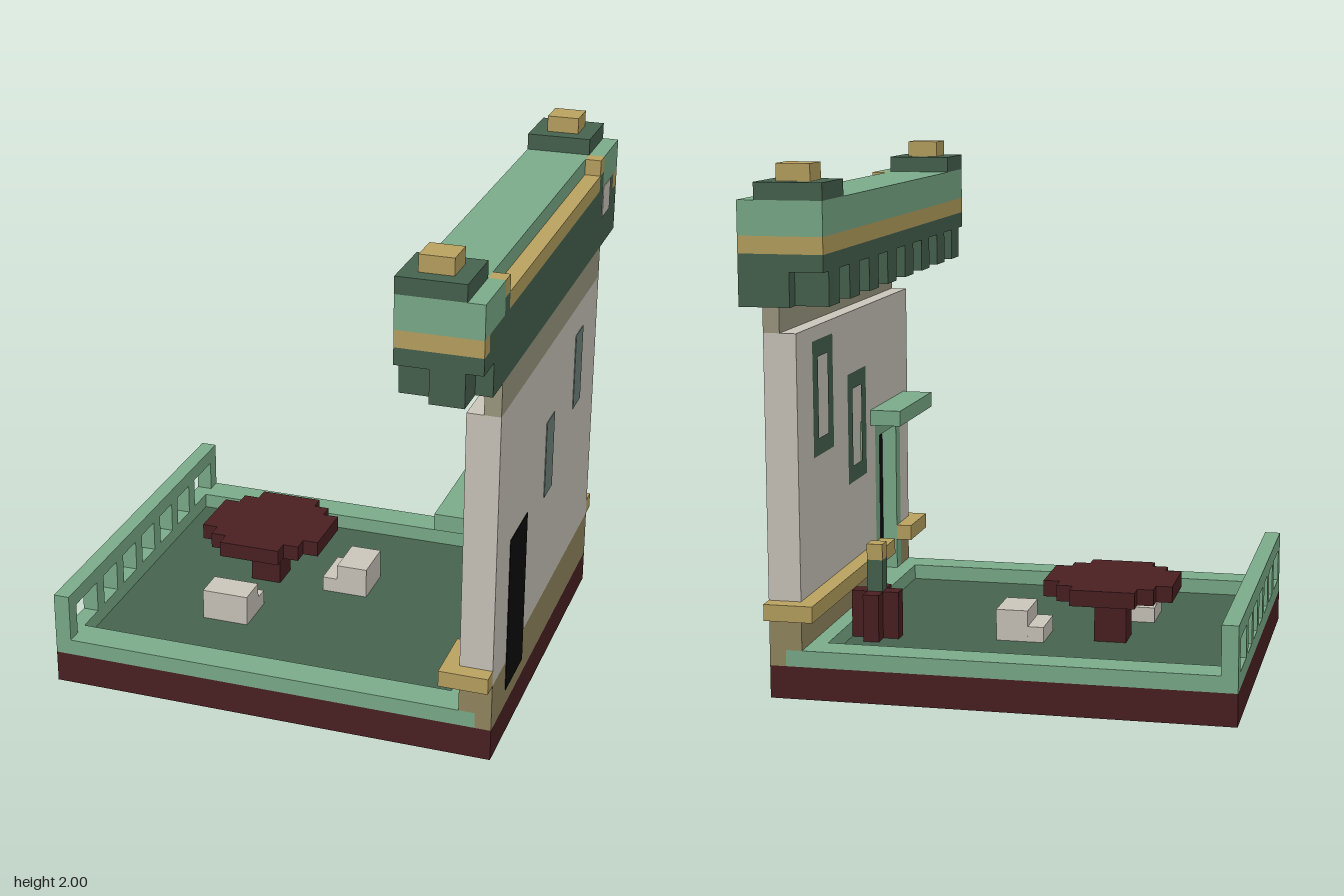
import * as THREE from 'three';

const mat = (name, color) => {
  const m = new THREE.MeshStandardMaterial({ color });
  m.name = name;
  return m;
};

export function createModel() {
  const M = {
    light: mat('light green', 0x7aab89),
    dark: mat('dark green', 0x46624e),
    maroon: mat('maroon', 0x4a2022),
    gold: mat('gold', 0xb8a15f),
    khaki: mat('khaki', 0x93875f),
    plaster: mat('plaster', 0xcac5ba),
    frieze: mat('grey khaki', 0x9c9880),
    black: mat('black', 0x0d0d0d),
    glass: mat('grey glass', 0x6f837d),
  };
  const model = new THREE.Group();
  model.name = 'terraceWithWall';
  const V = 1 / 16; // size of one block
  let parent = model;

  const group = (name, build) => {
    const g = new THREE.Group();
    g.name = name;
    model.add(g);
    parent = g;
    build();
    parent = model;
  };
  // Box given by its extents
  const box = (name, m, x0, x1, y0, y1, z0, z1) => {
    const mesh = new THREE.Mesh(new THREE.BoxGeometry(x1 - x0, y1 - y0, z1 - z0), m);
    mesh.position.set((x0 + x1) / 2, (y0 + y1) / 2, (z0 + z1) / 2);
    mesh.name = name;
    parent.add(mesh);
  };
  const rect = (z0, z1, y0, y1) => [[z0, y0], [z1, y0], [z1, y1], [z0, y1]];
  // Upright panel one block thick, outline and holes given as [z, y]
  const panel = (name, m, x0, outline, holes = []) => {
    const pts = (a) => a.map(([z, y]) => new THREE.Vector2(-z, y));
    const shape = new THREE.Shape(pts(outline));
    holes.forEach((h) => shape.holes.push(new THREE.Path(pts(h))));
    const mesh = new THREE.Mesh(new THREE.ExtrudeGeometry(shape, { depth: V, bevelEnabled: false }), m);
    mesh.rotation.y = Math.PI / 2;
    mesh.position.x = x0;
    mesh.name = name;
    parent.add(mesh);
  };

  group('base', () => {
    box('plinth', M.maroon, -0.875, 0.875, 0, 0.12, -0.75, 0.75);
    box('floor', M.dark, -0.8125, 0.6875, 0.12, 0.127, -0.625, 0.625);
    box('plinthTop', M.maroon, -0.875, 0.875, 0.12, 0.125, -0.75, 0.75);
    for (const s of [-1, 1]) {
      const z = [0.625 * s, 0.75 * s].sort((a, b) => a - b);
      box('sideCurb', M.light, -0.875, 0.8125, 0.125, 0.1875, ...z);
    }
    box('outerCurb', M.light, -0.875, -0.8125, 0.125, 0.1875, -0.625, 0.625);
    box('wallCurb', M.light, 0.6875, 0.8125, 0.125, 0.1875, -0.625, 0.625);
  });

  group('railing', () => {
    box('handrail', M.light, -0.875, -0.8125, 0.3125, 0.375, -0.75, 0.75);
    for (const i of [0, 4, 7, 10, 13, 16, 19, 23])
      box('baluster', M.light, -0.875, -0.8125, 0.1875, 0.3125, -0.75 + i * V, -0.75 + (i + 1) * V);
  });

  group('wall', () => {
    // Outer layer
    box('outerSkirt', M.khaki, 0.8125, 0.875, 0.125, 0.3125, -0.75, 0.75);
    box('outerWall', M.plaster, 0.8125, 0.875, 0.3125, 1.375, -0.75, 0.75);
    box('frieze', M.frieze, 0.8125, 0.875, 1.375, 1.5, -0.75, 0.75);
    // Inner layer with a door notch and window openings
    const windows = [[0, 0.91], [-0.4375, 1.1]];
    const frames = windows.map(([z, y]) => rect(z - 0.125, z + 0.125, y - 0.22, y + 0.22));
    const panes = windows.map(([z, y]) => rect(z - 0.06, z + 0.06, y - 0.155, y + 0.155));
    panel('innerWall', M.plaster, 0.75, [
      [-0.75, 0.3125], [0.25, 0.3125], [0.25, 0.875], [0.625, 0.875],
      [0.625, 0.3125], [0.75, 0.3125], [0.75, 1.375], [-0.75, 1.375],
    ], frames);
    frames.forEach((f, i) => panel('windowFrame', M.dark, 0.75, f, [panes[i]]));
    for (const [z, y] of windows) {
      for (const x of [0.8125, 0.875])
        box('windowPane', M.glass, x - 0.003, x + 0.003, y - 0.155, y + 0.155, z - 0.06, z + 0.06);
    }
    box('innerSkirt', M.khaki, 0.75, 0.8125, 0.1875, 0.3125, -0.75, 0.25);
    box('innerSkirt', M.khaki, 0.75, 0.8125, 0.1875, 0.3125, 0.625, 0.75);
  });

  group('door', () => {
    for (const x of [0.8125, 0.875])
      box('doorPanel', M.black, x - 0.003, x + 0.003, 0.19, 0.8125, 0.318, 0.56);
    panel('doorFrame', M.light, 0.75, [
      [0.25, 0.1875], [0.3125, 0.1875], [0.3125, 0.8125], [0.5625, 0.8125],
      [0.5625, 0.1875], [0.625, 0.1875], [0.625, 0.875], [0.25, 0.875],
    ]);
    box('doorCanopy', M.light, 0.625, 0.75, 0.875, 0.9375, 0.1875, 0.6875);
  });

  group('ledge', () => {
    box('innerLedge', M.gold, 0.6875, 0.75, 0.3125, 0.375, -0.75, 0.3125);
    box('innerLedge', M.gold, 0.6875, 0.75, 0.3125, 0.375, 0.5625, 0.75);
    box('endLedge', M.gold, 0.6875, 0.875, 0.3125, 0.375, -0.8125, -0.75);
    box('endLedge', M.gold, 0.6875, 0.875, 0.3125, 0.375, 0.75, 0.8125);
  });

  group('roof', () => {
    // Layered beam
    box('beamBase', M.dark, 0.5625, 0.8125, 1.625, 1.6875, -1, 1);
    box('beamBand', M.gold, 0.5625, 0.8125, 1.6875, 1.75, -1, 1);
    box('beamTop', M.light, 0.5625, 0.8125, 1.75, 1.875, -1, 1);
    // Outer face, cut away under its front end
    box('fascia', M.dark, 0.8125, 0.875, 1.5, 1.625, -1, 0.875);
    box('fascia', M.dark, 0.8125, 0.875, 1.625, 1.6875, -1, 1);
    box('fascia', M.dark, 0.8125, 0.875, 1.6875, 1.75, -0.9375, 0.9375);
    box('fasciaPatch', M.plaster, 0.87, 0.878, 1.625, 1.75, -0.875, -0.75);
    box('fasciaStrip', M.gold, 0.8125, 0.875, 1.75, 1.8125, -0.6875, 0.6875);
    // Mirrored ends
    for (const s of [-1, 1]) {
      const end = (name, m, x0, x1, y0, y1, a, b) =>
        box(name, m, x0, x1, y0, y1, Math.min(a * s, b * s), Math.max(a * s, b * s));
      end('fasciaBandEnd', M.gold, 0.8125, 0.875, 1.6875, 1.75, 0.9375, 1);
      end('fasciaTopEnd', M.light, 0.8125, 0.875, 1.75, 1.875, 0.75, 1);
      end('fasciaStep', M.dark, 0.8125, 0.875, 1.75, 1.8125, 0.6875, 0.75);
      end('stripEnd', M.gold, 0.8125, 0.875, 1.8125, 1.875, 0.6875, 0.75);
      end('cap', M.dark, 0.5625, 0.8125, 1.875, 1.9375, 0.75, 1);
      end('finial', M.gold, 0.625, 0.75, 1.9375, 2, 0.8125, 0.9375);
      end('endCorbel', M.dark, 0.6875, 0.8125, 1.5, 1.625, 0.875, 1);
    }
    for (let i = 0; i < 8; i++) {
      const z = -0.875 + i * 0.25;
      box('corbel', M.dark, 0.5625, 0.6875, 1.5, 1.625, z - V, z + V);
    }
  });

  group('table', () => {
    // Stepped round top, as one outline
    const q = [[4, 2], [3, 2], [3, 3], [2, 3], [2, 4]];
    const turn = ([a, b], k) => [[a, b], [-b, a], [-a, -b], [b, -a]][k];
    const pts = [0, 1, 2, 3].flatMap((k) => q.map((p) => new THREE.Vector2(...turn(p, k)).multiplyScalar(V)));
    const top = new THREE.Mesh(
      new THREE.ExtrudeGeometry(new THREE.Shape(pts), { depth: V, bevelEnabled: false }), M.maroon);
    top.rotation.x = -Math.PI / 2;
    top.position.set(-0.3125, 0.3125, -0.125);
    top.name = 'tableTop';
    parent.add(top);
    box('tableLeg', M.maroon, -0.375, -0.25, 0.125, 0.3125, -0.1875, -0.0625);
  });

  group('stools', () => {
    box('frontStoolSeat', M.plaster, -0.4375, -0.25, 0.125, 0.1875, 0.125, 0.1875);
    box('frontStoolBack', M.plaster, -0.4375, -0.25, 0.125, 0.25, 0.1875, 0.3125);
    box('sideStoolSeat', M.plaster, -0.0625, 0, 0.125, 0.1875, -0.25, -0.0625);
    box('sideStoolBack', M.plaster, 0, 0.125, 0.125, 0.25, -0.25, -0.0625);
  });

  group('planter', () => {
    // Cross-shaped pot with a stem
    box('pot', M.maroon, 0.5, 0.6875, 0.125, 0.3125, -0.3125, -0.25);
    box('potSide', M.maroon, 0.5625, 0.625, 0.125, 0.3125, -0.375, -0.3125);
    box('potSide', M.maroon, 0.5625, 0.625, 0.125, 0.3125, -0.25, -0.1875);
    box('stem', M.dark, 0.5625, 0.625, 0.3125, 0.4375, -0.3125, -0.25);
    box('stemTip', M.gold, 0.5625, 0.625, 0.4375, 0.5, -0.3125, -0.25);
  });

  return model;
}
